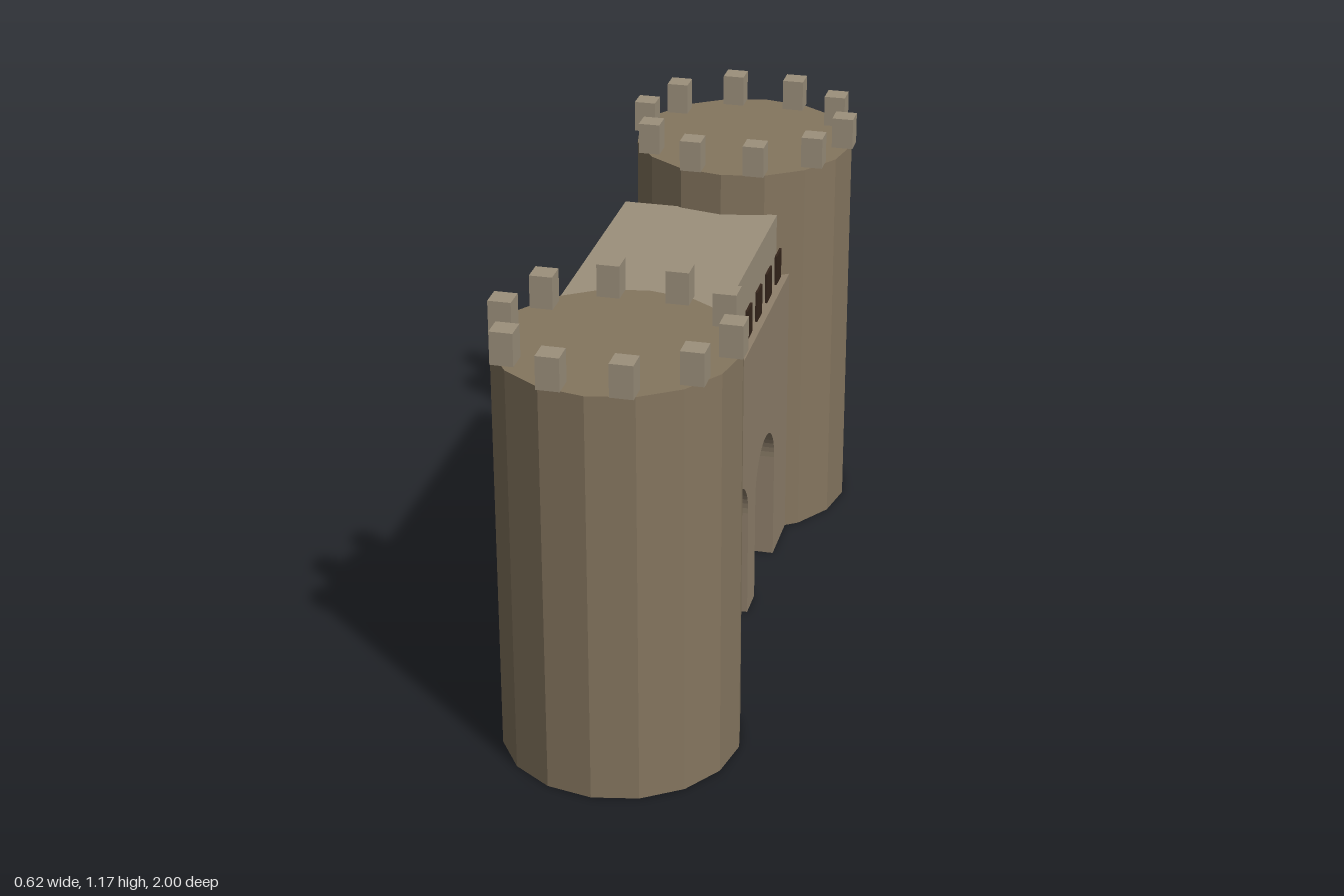
import * as THREE from 'three';

const stone = (color, side = THREE.FrontSide) => {
  const m = new THREE.MeshStandardMaterial({ flatShading: true, side });
  m.color.set(color);
  return m;
};

const towerStone = stone(0x85765f, THREE.DoubleSide);
const wallStone = stone(0x8f806b);
const trimStone = stone(0x9c907c);
const darkGlass = stone(0x35251b, THREE.DoubleSide);

function add(parent, name, geometry, material, x = 0, y = 0, z = 0) {
  const mesh = new THREE.Mesh(geometry, material);
  mesh.name = name;
  mesh.position.set(x, y, z);
  parent.add(mesh);
  return mesh;
}

// Sixteen-sided tower, open underneath, with ten merlons on the rim
function makeTower(name, z) {
  const tower = new THREE.Group();
  tower.name = name;
  tower.position.z = z;
  const radius = 0.303, height = 1.09;
  add(tower, 'towerWall', new THREE.CylinderGeometry(radius, radius, height, 16, 1, true), towerStone, 0, height / 2, 0);
  const roof = new THREE.CircleGeometry(radius, 16).rotateX(-Math.PI / 2);
  add(tower, 'towerRoof', roof, towerStone, 0, height, 0);
  const merlon = new THREE.BoxGeometry(0.058, 0.085, 0.058);
  for (let i = 0; i < 10; i++) {
    const a = (i / 10) * Math.PI * 2;
    add(tower, 'merlon', merlon, trimStone, 0.281 * Math.cos(a), height + 0.0425, 0.281 * Math.sin(a));
  }
  return tower;
}

// Gate wall outline with two round-headed passages cut up from the ground
function makeGateWall() {
  const half = 0.487, top = 0.79, spring = 0.305, r = 0.123;
  const s = new THREE.Shape();
  s.moveTo(-half, 0);
  for (const c of [-0.168, 0.168]) {
    s.lineTo(c - r, 0);
    s.lineTo(c - r, spring);
    s.absarc(c, spring, r, Math.PI, 0, true);
    s.lineTo(c + r, 0);
  }
  s.lineTo(half, 0);
  s.lineTo(half, top);
  s.lineTo(-half, top);
  s.closePath();
  const g = new THREE.ExtrudeGeometry(s, { depth: 0.48, bevelEnabled: false, curveSegments: 12 });
  return g.rotateY(Math.PI / 2).translate(-0.3, 0, 0);
}

export function createModel() {
  const model = new THREE.Group();
  model.name = 'castleGatehouse';

  model.add(makeTower('frontTower', 0.697), makeTower('backTower', -0.697));
  add(model, 'gateWall', makeGateWall(), wallStone);

  // Gallery set back on top of the gate wall
  add(model, 'gallery', new THREE.BoxGeometry(0.425, 0.185, 0.85), trimStone, -0.0625, 0.8825, 0);

  // Row of dark window panels along the left side
  const panel = new THREE.BoxGeometry(0.006, 0.083, 0.06);
  for (let i = 0; i < 6; i++) {
    add(model, 'galleryWindow', panel, darkGlass, 0.18, 0.878, (i - 2.5) * 0.122 + 0.003);
  }
  return model;
}
